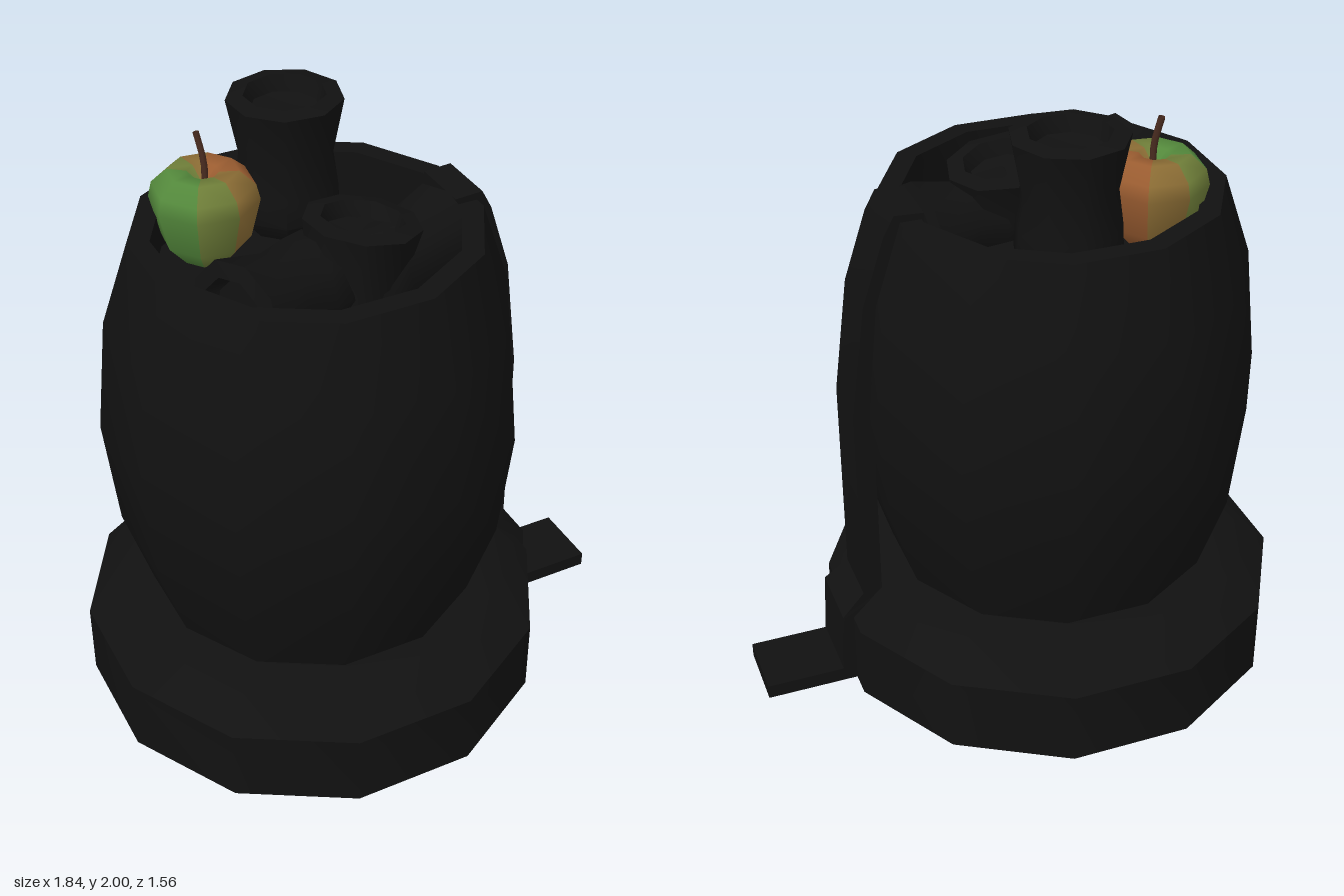
import * as THREE from 'three';
import { toCreasedNormals } from 'three/addons/utils/BufferGeometryUtils.js';

const dark = new THREE.MeshStandardMaterial({ color: 0x111111, side: THREE.DoubleSide });

function lathe(name, points, sides, material = dark) {
  const geometry = new THREE.LatheGeometry(points.map(([r, y]) => new THREE.Vector2(r, y)), sides);
  const mesh = new THREE.Mesh(toCreasedNormals(geometry, 0.85), material);
  mesh.name = name;
  return mesh;
}

// Flared jar with a waist and a shallow open mouth, standing on its own y = 0
function jar(name, position, rotation = [0, 0, 0], scale = 1) {
  const mesh = lathe(name, [
    [0, 0], [0.13, 0], [0.17, 0.06], [0.165, 0.15], [0.15, 0.26],
    [0.185, 0.44], [0.13, 0.45], [0.11, 0.4], [0, 0.39],
  ], 9);
  mesh.position.set(...position);
  mesh.rotation.set(...rotation);
  mesh.scale.setScalar(scale);
  return mesh;
}

// Apple made of eight wedges that run from green to russet
function createApple() {
  const apple = new THREE.Group();
  apple.name = 'apple';
  const profile = [[0, -0.13], [0.08, -0.16], [0.14, -0.09], [0.172, 0.04], [0.16, 0.09], [0.11, 0.135], [0.05, 0.13], [0, 0.08]]
    .map(([r, y]) => new THREE.Vector2(r, y));
  const green = new THREE.Color(0x4f8a3c);
  const russet = new THREE.Color(0x9c5a30);
  for (let i = 0; i < 8; i++) {
    const phi = (i * Math.PI) / 4;
    const mix = 0.5 + 0.5 * Math.sin(phi + Math.PI / 8);
    const material = new THREE.MeshStandardMaterial({ color: green.clone().lerp(russet, mix) });
    const wedge = new THREE.Mesh(new THREE.LatheGeometry(profile, 1, phi, Math.PI / 4), material);
    wedge.name = 'appleWedge';
    apple.add(wedge);
  }
  const path = new THREE.CatmullRomCurve3([
    new THREE.Vector3(0.005, 0.07, 0), new THREE.Vector3(0.005, 0.16, 0), new THREE.Vector3(-0.004, 0.255, -0.02),
  ]);
  const stem = new THREE.Mesh(
    new THREE.TubeGeometry(path, 5, 0.011, 6),
    new THREE.MeshStandardMaterial({ color: 0x4a2c20, side: THREE.DoubleSide }),
  );
  stem.name = 'appleStem';
  apple.add(stem);
  apple.position.set(-0.33, 1.715, -0.26);
  return apple;
}

// Band draped over the rim, down the side and out along the floor
function createStrap() {
  const outline = [
    [0.455, 1.6], [0.455, 1.72], [0.55, 1.725], [0.585, 1.66], [0.66, 1.43], [0.71, 1.04], [0.71, 0.34],
    [0.79, 0.27], [0.8, 0.05], [1.065, 0.05], [1.065, 0], [0.74, 0], [0.74, 0.25],
    [0.645, 0.33], [0.645, 1.04], [0.61, 1.43], [0.53, 1.69], [0.49, 1.69], [0.49, 1.6],
  ];
  const shape = new THREE.Shape(outline.map(([s, y]) => new THREE.Vector2(s, y)));
  const geometry = new THREE.ExtrudeGeometry(shape, { depth: 2, bevelEnabled: false });
  // Widen the band a little towards the floor
  const p = geometry.attributes.position;
  for (let i = 0; i < p.count; i++) {
    const half = p.getY(i) < 0.3 ? 0.118 : 0.1;
    p.setZ(i, (p.getZ(i) - 1) * half);
  }
  geometry.computeVertexNormals();
  const strap = new THREE.Mesh(toCreasedNormals(geometry, 0.5), dark);
  strap.name = 'strap';
  strap.position.x = -0.14;
  strap.rotation.y = -Math.PI / 12;
  return strap;
}

export function createModel() {
  const model = new THREE.Group();
  model.name = 'filledBarrel';

  // Hollow collar, open underneath
  const base = lathe('base', [[0.78, 0], [0.78, 0.26], [0.625, 0.38], [0.54, 0.38]], 12);

  // Barrel with a bottom, bulging wall, rim and sunken inner floor
  const barrel = lathe('barrel', [
    [0, 0.379], [0.55, 0.379], [0.64, 0.66], [0.68, 1.04], [0.64, 1.43], [0.55, 1.7],
    [0.48, 1.7], [0.49, 1.53], [0, 1.53],
  ], 12);
  for (const part of [base, barrel]) {
    part.position.x = -0.14;
    model.add(part);
  }

  // Contents: one standing jar, one leaning jar and two lying ones
  model.add(
    jar('standingJar', [-0.005, 1.55, -0.26]),
    jar('leaningJar', [-0.12, 1.31, 0.145], [0, 0, -0.16]),
    jar('lyingJarLeft', [-0.13, 1.56, 0.09], [0, 0.12, 1.45], 0.95),
    jar('lyingJarRight', [-0.12, 1.55, 0.16], [0, 0, -1.5], 0.9),
    createApple(),
    createStrap(),
  );
  return model;
}
